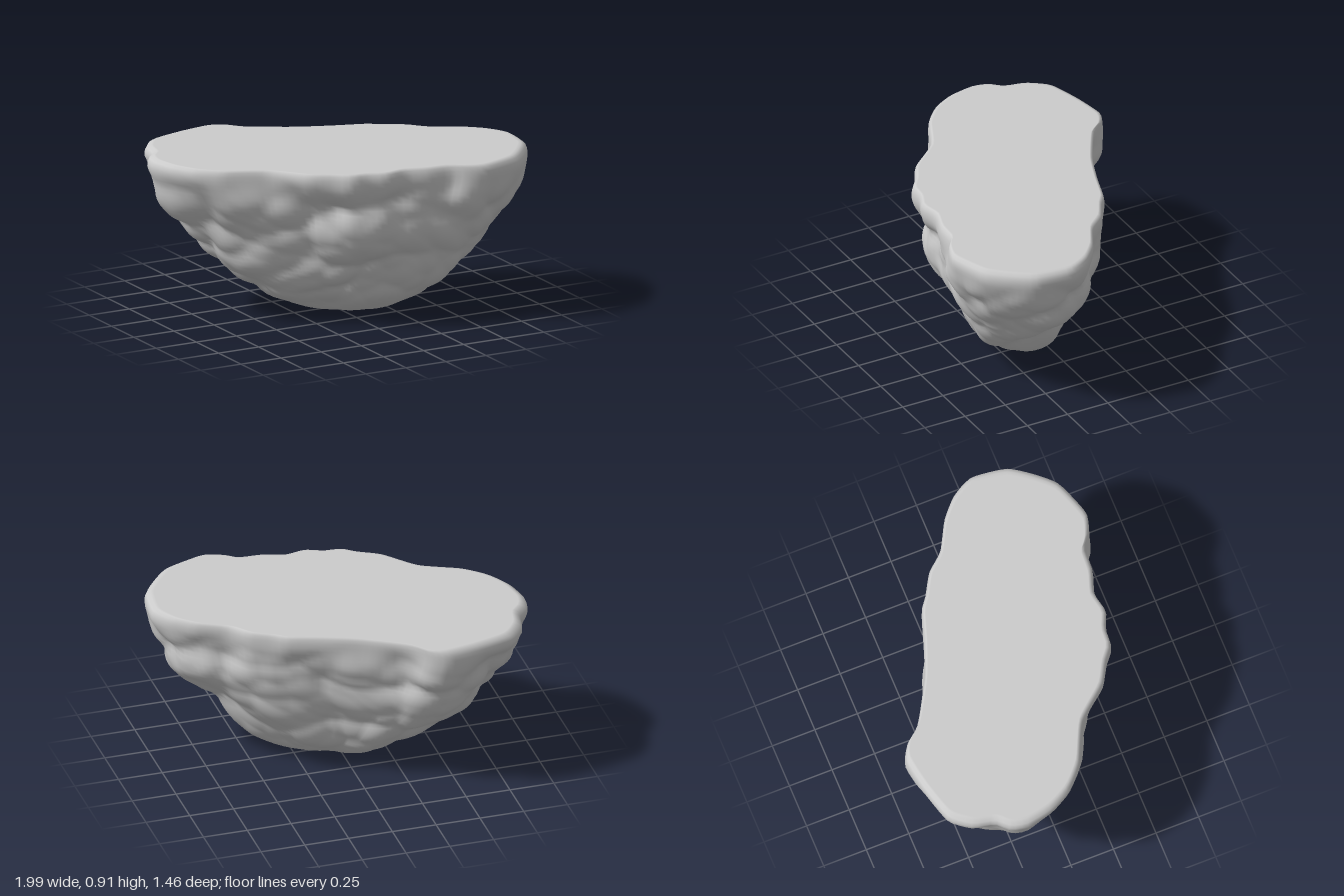
import * as THREE from 'three';

// Rim outline, [x, z]
const RIM = [[-1, -0.25], [-0.98, -0.34], [-0.92, -0.41], [-0.89, -0.53], [-0.8, -0.64], [-0.6, -0.7],
  [-0.41, -0.73], [-0.32, -0.69], [-0.24, -0.6], [0, -0.46], [0.2, -0.38], [0.38, -0.32], [0.45, -0.27],
  [0.57, -0.2], [0.66, -0.1], [0.82, -0.01], [0.93, 0.09], [0.995, 0.22], [0.97, 0.42], [0.88, 0.55],
  [0.78, 0.65], [0.57, 0.725], [0.45, 0.69], [0.38, 0.64], [0.25, 0.63], [0.12, 0.59], [0, 0.61],
  [-0.1, 0.57], [-0.2, 0.56], [-0.28, 0.5], [-0.4, 0.43], [-0.56, 0.25], [-0.78, 0.14], [-0.9, 0.03],
  [-0.97, -0.1]];

// Side profile from rim to underside, [scale, y]
const PROFILE = [[0.965, 0.91], [0.988, 0.897], [1, 0.85], [0.965, 0.75], [0.925, 0.65], [0.87, 0.55],
  [0.755, 0.4], [0.655, 0.3], [0.54, 0.2], [0.4, 0.1], [0.21, 0.02], [0.02, 0.002]];

// Flat top rings, [scale, y]
const TOP = [[0.05, 0.91], [0.5, 0.91], [0.9, 0.91], [0.95, 0.91]];

const SEGMENTS = 150, ROWS = 56;

// Repeatable value in 0..1 for a lattice cell
function hash(x, y, z, k) {
  const s = Math.sin(x * 127.1 + y * 311.7 + z * 74.7 + k * 53.3) * 43758.5453;
  return s - Math.floor(s);
}

// Rounded lumps separated by creases: distance to the nearest cell point
function lumps(x, y, z) {
  const ix = Math.floor(x), iy = Math.floor(y), iz = Math.floor(z);
  let near = 9;
  for (let i = ix - 1; i <= ix + 1; i++)
    for (let j = iy - 1; j <= iy + 1; j++)
      for (let k = iz - 1; k <= iz + 1; k++) {
        const dx = i + hash(i, j, k, 1) - x, dy = j + hash(i, j, k, 2) - y, dz = k + hash(i, j, k, 3) - z;
        near = Math.min(near, dx * dx + dy * dy + dz * dz);
      }
  return 0.33 - near;
}

// Average each outline point with its neighbours
function soften(points, reach) {
  return points.map((_, j) => {
    const sum = new THREE.Vector3();
    for (let k = -reach; k <= reach; k++) sum.add(points[(j + k + points.length) % points.length]);
    return sum.divideScalar(2 * reach + 1);
  });
}

function rockGeometry() {
  const rim = new THREE.CatmullRomCurve3(RIM.map(([x, z]) => new THREE.Vector3(x, 0, z)), true, 'catmullrom', 0.3)
    .getSpacedPoints(SEGMENTS).slice(0, SEGMENTS);
  const softRim = soften(rim, 6);
  const side = new THREE.CatmullRomCurve3(PROFILE.map(([s, y]) => new THREE.Vector3(s, y, 0)))
    .getSpacedPoints(ROWS);
  const rows = [...TOP, ...side.map((p) => [p.x, p.y])];

  const axis = 0.5, c = Math.cos(axis), s = Math.sin(axis);
  const pos = [], index = [];
  rows.forEach(([scale, y], i) => {
    // Below the rim the short axis narrows more slowly, the centre drifts and the outline softens
    const isSide = i >= TOP.length;
    const shortScale = isSide ? Math.pow(scale, 0.88) : scale;
    const shift = isSide ? 1 - scale : 0;
    const soft = 1 - THREE.MathUtils.smoothstep(y, 0.4, 0.85);
    rim.forEach((point, j) => {
      const p = point.clone().lerp(softRim[j], soft);
      const u = (p.x * c + p.z * s) * scale, v = (p.z * c - p.x * s) * shortScale;
      pos.push(u * c - v * s + 0.08 * shift, y, u * s + v * c + 0.045 * shift);
      if (i === rows.length - 1) return;
      const a = i * SEGMENTS + j, b = i * SEGMENTS + (j + 1) % SEGMENTS;
      index.push(a, b, a + SEGMENTS, b, b + SEGMENTS, a + SEGMENTS);
    });
  });

  // Close the top and the underside with a centre point each
  const topCentre = pos.length / 3, last = (rows.length - 1) * SEGMENTS;
  pos.push(0, 0.91, 0, 0.08, 0.002, 0.045);
  for (let j = 0; j < SEGMENTS; j++) {
    const next = (j + 1) % SEGMENTS;
    index.push(topCentre, next, j, topCentre + 1, last + j, last + next);
  }

  const geo = new THREE.BufferGeometry();
  geo.setAttribute('position', new THREE.Float32BufferAttribute(pos, 3));
  geo.setIndex(index);
  geo.computeVertexNormals();

  // Push the sides in and out along their normals, fading out at the rim and underside
  const P = geo.attributes.position, N = geo.attributes.normal;
  for (let i = 0; i < P.count; i++) {
    const x = P.getX(i), y = P.getY(i), z = P.getZ(i);
    const fade = 1 - THREE.MathUtils.smoothstep(y, 0.68, 0.9);
    const low = 0.12 + 0.88 * THREE.MathUtils.smoothstep(y, 0, 0.18);
    const wx = x + 0.05 * Math.sin(9 * y + 4 * z), wy = y + 0.05 * Math.sin(7 * x - 5 * z);
    const d = fade * low * (0.09 * lumps(wx * 3, wy * 4.2, z * 3) + 0.03 * lumps(wx * 6 + 5, wy * 7, z * 6));
    P.setXYZ(i, x + N.getX(i) * d, y + N.getY(i) * d, z + N.getZ(i) * d);
  }
  geo.computeVertexNormals();
  return geo;
}

export function createModel() {
  const group = new THREE.Group();
  group.name = 'floatingRock';
  const rock = new THREE.Mesh(rockGeometry(), new THREE.MeshStandardMaterial({ color: 0xcccccc }));
  rock.name = 'rock';
  group.add(rock);
  return group;
}
